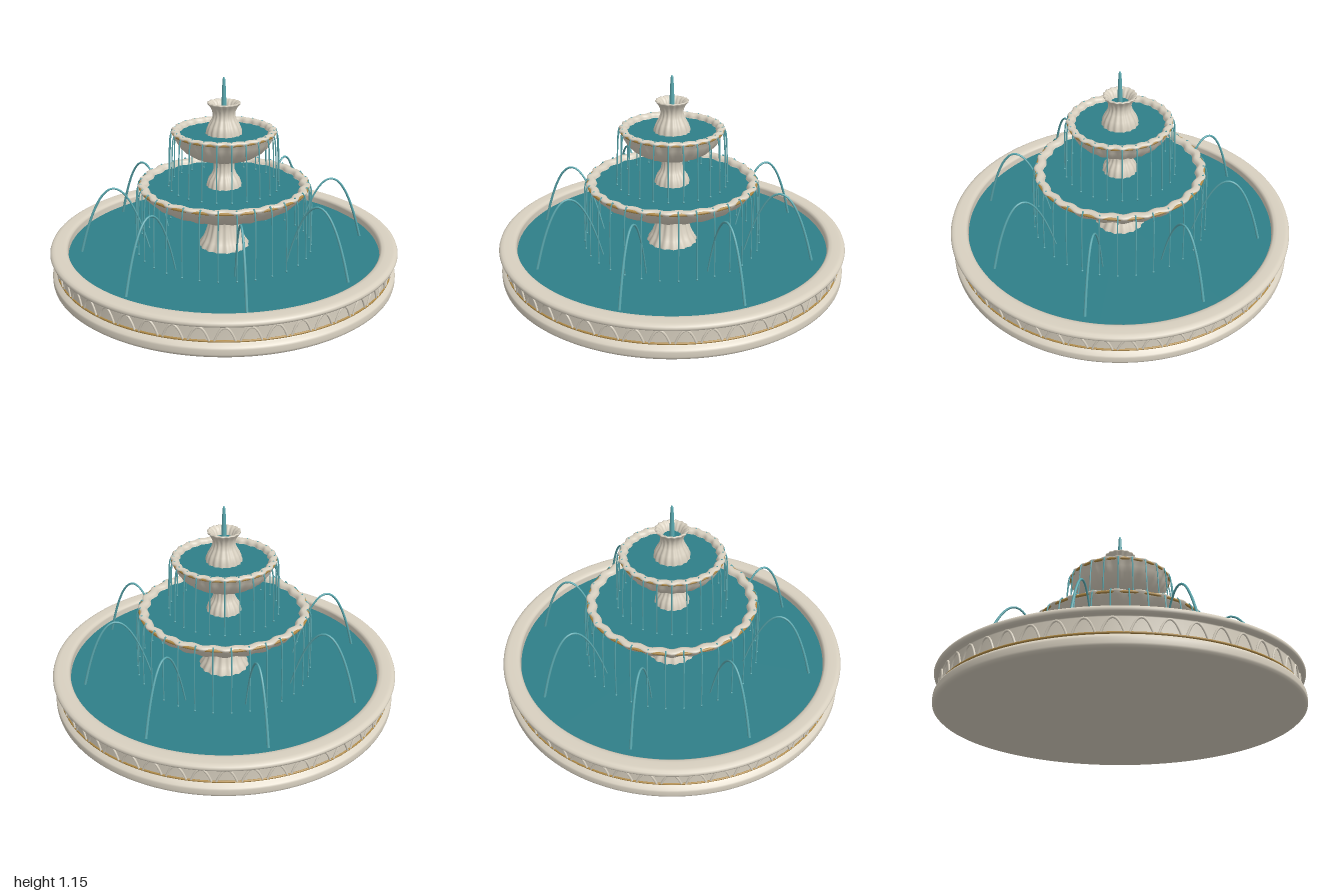
import * as THREE from 'three';
import { mergeVertices, mergeGeometries } from 'three/addons/utils/BufferGeometryUtils.js';

const mat = (color) => new THREE.MeshStandardMaterial({ color, side: THREE.DoubleSide });
const stone = mat(0xd8d0c0), water = mat(0x2f7f88), stream = mat(0x5aa9b0), gold = mat(0xb08a45);
const V = (x, y, z = 0) => new THREE.Vector3(x, y, z);

function add(parent, name, geometry, material) {
  const mesh = new THREE.Mesh(geometry, material);
  mesh.name = name;
  parent.add(mesh);
  return mesh;
}

// Lathe from [radius, height] pairs; flutes ripple the radius around the axis
function turned(profile, segments, flutes = 0, depth = 0) {
  const pts = profile.map(([r, y]) => new THREE.Vector2(r, y));
  let g = new THREE.LatheGeometry(pts, segments);
  if (!flutes) return g;
  const p = g.attributes.position;
  for (let i = 0; i < p.count; i++) {
    const k = 1 + depth * (Math.cos(flutes * Math.atan2(p.getX(i), p.getZ(i))) - 1);
    p.setX(i, p.getX(i) * k);
    p.setZ(i, p.getZ(i) * k);
  }
  g.deleteAttribute('uv');
  g.deleteAttribute('normal');
  g = mergeVertices(g, 1e-5);
  g.computeVertexNormals();
  return g;
}

// Tube whose radius runs from r0 to r1 along the curve
function taperedTube(points, segs, r0, r1, sides = 6) {
  const curve = new THREE.CatmullRomCurve3(points);
  const g = new THREE.TubeGeometry(curve, segs, r0, sides);
  const p = g.attributes.position, v = V(0, 0);
  for (let i = 0; i < p.count; i++) {
    const t = Math.floor(i / (sides + 1)) / segs;
    const c = curve.getPointAt(t);
    v.fromBufferAttribute(p, i).sub(c).multiplyScalar(1 + (r1 / r0 - 1) * t).add(c);
    p.setXYZ(i, v.x, v.y, v.z);
  }
  return g;
}

// Copies of a geometry lying along +x, spread evenly round the axis
function ringOf(geometry, count) {
  const copies = [];
  for (let i = 0; i < count; i++) copies.push(geometry.clone().rotateY((i / count) * Math.PI * 2));
  return mergeGeometries(copies);
}

function pool(parent, name, radius, y) {
  add(parent, name, new THREE.CircleGeometry(radius, 64).rotateX(-Math.PI / 2), water).position.y = y;
}

function band(parent, name, radius, tube, y) {
  add(parent, name, new THREE.TorusGeometry(radius, tube, 8, 96).rotateX(Math.PI / 2), gold).position.y = y;
}

// Fluted bowl with trim, water and drips that fall to the level below
function bowl(parent, name, profile, { r, rim, drips, fall }) {
  const g = new THREE.Group();
  g.name = name;
  parent.add(g);
  add(g, name + 'Shell', turned(profile, 192, 24, 0.016), stone);
  band(g, name + 'Trim', r - 0.012, 0.008, rim - 0.014);
  pool(g, name + 'Water', r - 0.038, rim - 0.025);
  const path = [V(r - 0.03, rim - 0.012), V(r - 0.012, rim + 0.003), V(r + 0.002, rim - 0.02),
    V(r + 0.012, rim - 0.12), V(r + 0.02, fall + 0.005)];
  const drop = new THREE.SphereGeometry(0.006, 8, 6).translate(r + 0.02, fall + 0.007, 0);
  add(g, name + 'Drips', ringOf(mergeGeometries([taperedTube(path, 18, 0.0045, 0.003, 5), drop]), drips), stream);
}

export function createModel() {
  const fountain = new THREE.Group();
  fountain.name = 'fountain';

  // Ground basin
  add(fountain, 'basin', turned([
    [0, 0], [0.97, 0], [0.982, 0.001], [0.992, 0.01], [0.994, 0.02], [0.994, 0.045], [0.99, 0.055],
    [0.975, 0.066], [0.966, 0.07], [0.965, 0.074], [0.965, 0.155], [0.967, 0.16], [0.985, 0.163],
    [0.996, 0.169], [1, 0.18], [0.996, 0.191], [0.985, 0.198], [0.97, 0.2], [0.93, 0.2],
    [0.912, 0.197], [0.903, 0.19], [0.9, 0.18], [0.9, 0.1],
  ], 128), stone);
  pool(fountain, 'basinWater', 0.902, 0.15);
  band(fountain, 'basinTrim', 0.966, 0.006, 0.078);

  // Arches round the basin wall
  const arch = [];
  for (let i = 0; i <= 8; i++) {
    const s = i / 4 - 1;
    const a = s * 0.053;
    arch.push(V(0.967 * Math.cos(a), 0.08 + 0.072 * (1 - s * s), 0.967 * Math.sin(a)));
  }
  add(fountain, 'basinArches', ringOf(taperedTube(arch, 16, 0.006, 0.006, 6), 48), stone);

  // Fluted stems and the crowning vase
  add(fountain, 'lowerStem', turned([
    [0.15, 0.13], [0.146, 0.16], [0.125, 0.19], [0.11, 0.225], [0.097, 0.27], [0.091, 0.31],
    [0.094, 0.35], [0.11, 0.39],
  ], 128, 16, 0.03), stone);
  add(fountain, 'middleStem', turned([
    [0.105, 0.5], [0.1, 0.53], [0.09, 0.56], [0.072, 0.585], [0.062, 0.61], [0.06, 0.64],
    [0.064, 0.67], [0.078, 0.7],
  ], 128, 16, 0.03), stone);
  add(fountain, 'topVase', turned([
    [0.105, 0.81], [0.102, 0.845], [0.09, 0.875], [0.072, 0.905], [0.064, 0.93], [0.066, 0.955],
    [0.078, 0.98], [0.093, 0.996], [0.094, 1.003], [0.085, 1.004], [0.066, 0.99], [0.052, 0.96], [0.045, 0.93],
  ], 128, 16, 0.03), stone);
  pool(fountain, 'vaseWater', 0.052, 0.958);

  // Two bowls
  bowl(fountain, 'lowerBowl', [
    [0, 0.375], [0.15, 0.375], [0.22, 0.38], [0.3, 0.395], [0.37, 0.42], [0.425, 0.452], [0.462, 0.488],
    [0.482, 0.515], [0.493, 0.53], [0.492, 0.538], [0.482, 0.543], [0.462, 0.543], [0.45, 0.537], [0.445, 0.525],
    [0.43, 0.49], [0.38, 0.45],
  ], { r: 0.492, rim: 0.542, drips: 32, fall: 0.15 });
  bowl(fountain, 'upperBowl', [
    [0, 0.68], [0.09, 0.68], [0.13, 0.686], [0.18, 0.703], [0.223, 0.73], [0.257, 0.765], [0.277, 0.8],
    [0.287, 0.825], [0.298, 0.838], [0.297, 0.846], [0.288, 0.851], [0.27, 0.851], [0.26, 0.845], [0.255, 0.833],
    [0.245, 0.8], [0.21, 0.76],
  ], { r: 0.297, rim: 0.85, drips: 24, fall: 0.518 });

  // Arcing jets from the basin towards the centre
  const arc = [];
  for (let i = 0; i <= 12; i++) {
    const d = 0.194 * (1 - i / 6);
    arc.push(V(0.63 + d, 0.526 - 10 * d * d));
  }
  add(fountain, 'basinJets', ringOf(taperedTube(arc, 40, 0.008, 0.004, 8), 8), stream);

  // Central spout
  add(fountain, 'topJet', turned([
    [0.015, 0.95], [0.013, 1.02], [0.01, 1.09], [0.008, 1.13], [0.005, 1.142], [0, 1.146],
  ], 16), stream);

  return fountain;
}
